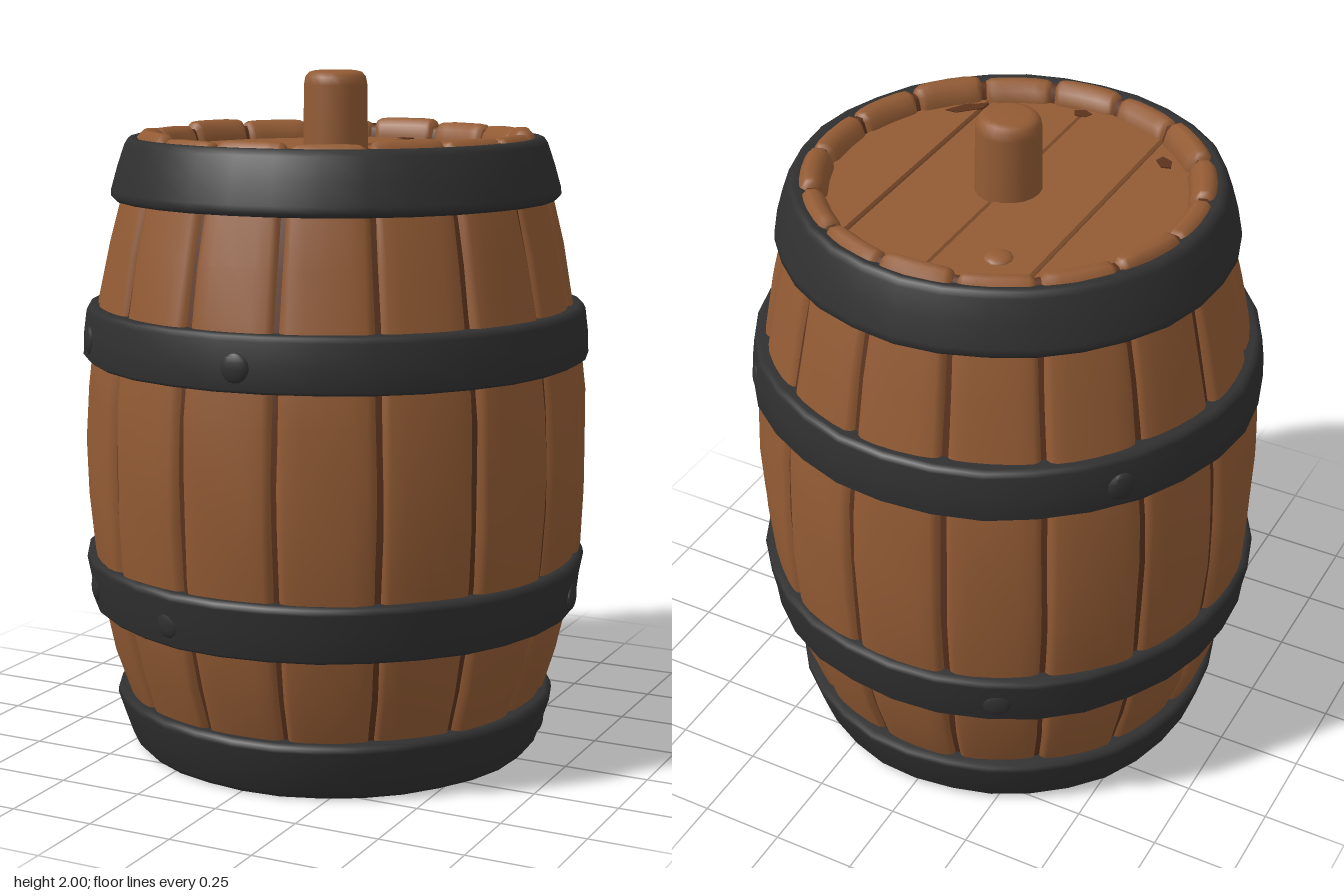
import * as THREE from 'three';

const STAVES = 16;
const FIRST_SEAM = -9.3 * Math.PI / 180;

// Stave cross-section (radius, height): up the outside, over the rim, down inside
const STAVE = [
  [0.565, 0.03], [0.625, 0.17], [0.668, 0.3], [0.698, 0.43], [0.728, 0.62], [0.738, 0.78],
  [0.74, 0.92], [0.734, 1.08], [0.718, 1.22], [0.696, 1.34], [0.664, 1.5], [0.63, 1.64],
  [0.59, 1.77], [0.578, 1.81], [0.56, 1.828], [0.535, 1.828], [0.512, 1.808], [0.5, 1.775], [0.5, 1.72],
];
const LAST_OUTER = 13;

const toPoints = list => list.map(([r, y]) => new THREE.Vector2(r, y));

// Pull a stave section towards its own middle by d
function inset([r, y], i, d) {
  if (i <= LAST_OUTER - 1) return [r - d, y];
  if (i <= 15) return [r + (0.538 - r) * d * 6, y - d];
  return [r + d, y - d * 0.5];
}

// One plank of the wall: a slice of lathe with rounded-off long edges
function staveGeometry(index) {
  const step = Math.PI * 2 / STAVES, gap = 0.012, cols = 8;
  const bulge = 0.004 * Math.sin(index * 2.7), lift = 0.006 * Math.sin(index * 4.1);
  const geo = new THREE.LatheGeometry(toPoints(STAVE), cols,
    FIRST_SEAM + index * step + gap / 2, step - gap);
  const pos = geo.attributes.position, n = STAVE.length;
  const across = [0, 0.04, 0.1, 0.25, 0.5, 0.75, 0.9, 0.96, 1];
  const drop = [0.024, 0.008, 0.002, 0, 0, 0, 0.002, 0.008, 0.024];
  for (let c = 0; c <= cols; c++) {
    const phi = FIRST_SEAM + index * step + gap / 2 + across[c] * (step - gap);
    for (let i = 0; i < n; i++) {
      const wear = 0.003 * Math.sin(i * 1.9 + index * 3.3 + c * 0.8);
      const [r, y] = inset(STAVE[i], i, drop[c]);
      const rr = r + (i < LAST_OUTER ? bulge + wear : 0);
      pos.setXYZ(c * n + i, Math.sin(phi) * rr, y + (i >= LAST_OUTER ? lift : 0), Math.cos(phi) * rr);
    }
  }
  geo.computeVertexNormals();
  return geo;
}

// Iron hoop, slightly hammered out of round
function hoopGeometry(profile, seed) {
  const geo = new THREE.LatheGeometry(toPoints(profile), 32);
  const pos = geo.attributes.position;
  for (let i = 0; i < pos.count; i++) {
    const x = pos.getX(i), z = pos.getZ(i), a = Math.atan2(x, z);
    const k = 1 + 0.004 * Math.sin(a * 5 + seed) + 0.003 * Math.sin(a * 11 + seed * 2);
    pos.setXYZ(i, x * k, pos.getY(i), z * k);
  }
  return geo;
}

// Board of a round lid between x0 and x1
function boardGeometry(x0, x1, radius, depth) {
  const shape = new THREE.Shape(), steps = 10, edge = [];
  for (let i = 0; i <= steps; i++) {
    const x = x0 + (x1 - x0) * i / steps;
    edge.push([x, Math.sqrt(Math.max(0, radius * radius - x * x))]);
  }
  edge.forEach(([x, y], i) => i ? shape.lineTo(x, -y) : shape.moveTo(x, -y));
  edge.reverse().forEach(([x, y]) => shape.lineTo(x, y));
  const geo = new THREE.ExtrudeGeometry(shape, {
    depth, bevelEnabled: true, bevelThickness: 0.008, bevelSize: 0.007, bevelOffset: -0.007, bevelSegments: 1,
  });
  return geo.rotateX(-Math.PI / 2);
}

export function createModel() {
  const wood = new THREE.MeshStandardMaterial({ color: 0x935b34 });
  wood.name = 'oak wood';
  const dark = new THREE.MeshStandardMaterial({ color: 0x5c331e });
  dark.name = 'dark gap wood';
  const iron = new THREE.MeshStandardMaterial({ color: 0x303030 });
  iron.name = 'black iron';

  const barrel = new THREE.Group();
  barrel.name = 'barrel';
  const add = (name, geo, mat, parent = barrel) => {
    const mesh = new THREE.Mesh(geo, mat);
    mesh.name = name;
    parent.add(mesh);
    return mesh;
  };
  const group = name => {
    const g = new THREE.Group();
    g.name = name;
    barrel.add(g);
    return g;
  };

  // Wall of staves over a dark core that shows in the seams
  const staves = group('staves');
  for (let i = 0; i < STAVES; i++) add('stave', staveGeometry(i), wood, staves);
  add('seamCore', new THREE.LatheGeometry(toPoints(STAVE.map((p, i) => inset(p, i, 0.017))), 48), dark);

  // Hoops
  const hoops = group('hoops');
  const hoopProfiles = {
    bottomHoop: [[0.515, 0.09], [0.515, 0.02], [0.53, 0.003], [0.595, 0], [0.612, 0.018],
      [0.635, 0.085], [0.656, 0.15], [0.654, 0.166], [0.64, 0.173], [0.6, 0.173]],
    lowerHoop: [[0.67, 0.428], [0.715, 0.428], [0.727, 0.438], [0.735, 0.51], [0.747, 0.572],
      [0.744, 0.587], [0.73, 0.594], [0.69, 0.594]],
    upperHoop: [[0.69, 1.172], [0.733, 1.172], [0.745, 1.182], [0.742, 1.25], [0.734, 1.312],
      [0.728, 1.325], [0.715, 1.33], [0.67, 1.33]],
    topHoop: [[0.6, 1.635], [0.645, 1.635], [0.656, 1.645], [0.655, 1.665], [0.635, 1.735],
      [0.614, 1.795], [0.604, 1.81], [0.59, 1.813], [0.565, 1.805]],
  };
  Object.entries(hoopProfiles).forEach(([name, p], i) => add(name, hoopGeometry(p, i * 1.7), iron, hoops));

  // Rivets: [angle in degrees, height, radius from the axis]
  const rivets = group('rivets');
  const rivetSpots = [[-47, 1.24, 0.735], [5, 1.24, 0.737], [-47, 0.51, 0.73], [-13, 0.5, 0.728],
    [97, 0.49, 0.728], [130, 1.24, 0.735], [205, 0.5, 0.728], [232, 1.24, 0.735], [97, 0.11, 0.635]];
  for (const [deg, y, r] of rivetSpots) {
    const a = deg * Math.PI / 180;
    const rivet = add('rivet', new THREE.SphereGeometry(0.042, 12, 8), iron, rivets);
    rivet.position.set(Math.sin(a) * r, y, Math.cos(a) * r);
    rivet.rotation.y = a;
    rivet.scale.z = 0.35;
  }

  // Lid and base boards with dark backing
  const cuts = [-0.519, -0.27, 0.005, 0.285, 0.519];
  for (const [name, y] of [['lid', 1.735], ['base', 0.058]]) {
    const boards = group(name);
    for (let i = 0; i < 4; i++) {
      const board = add(name + 'Board', boardGeometry(cuts[i] + 0.001, cuts[i + 1] - 0.001, 0.52, 0.03), wood, boards);
      board.position.y = y + 0.003 * Math.sin(i * 2.3);
    }
    const backing = add(name + 'Backing', new THREE.CylinderGeometry(0.515, 0.515, 0.02, 40), dark, boards);
    backing.position.y = y + 0.015;
  }

  // Worn chips where the lid meets the rim: [x, z, turn, length]
  const chips = group('lidChips');
  for (const [x, z, turn, len] of [[0.32, 0.35, 0.8, 0.07], [0.005, 0.475, 0, 0.03],
    [0.005, -0.485, 0, 0.03], [-0.33, 0.32, -0.8, 0.035]]) {
    const chip = add('chip', new THREE.CylinderGeometry(1, 1, 0.004, 5), dark, chips);
    chip.scale.set(len, 1, 0.022);
    chip.rotation.y = turn;
    chip.position.set(x, 1.775, z);
  }

  // Peg on the lid
  const peg = [[0.095, 1.75], [0.095, 1.8], [0.093, 1.96], [0.089, 1.982], [0.078, 1.995], [0.06, 2], [0, 2]];
  add('lidPeg', new THREE.LatheGeometry(toPoints(peg), 20), wood);

  // Knot on the lid
  const knot = add('lidKnot', new THREE.SphereGeometry(0.042, 12, 8), wood);
  knot.position.set(-0.15, 1.773, -0.345);
  knot.scale.y = 0.4;

  return barrel;
}
